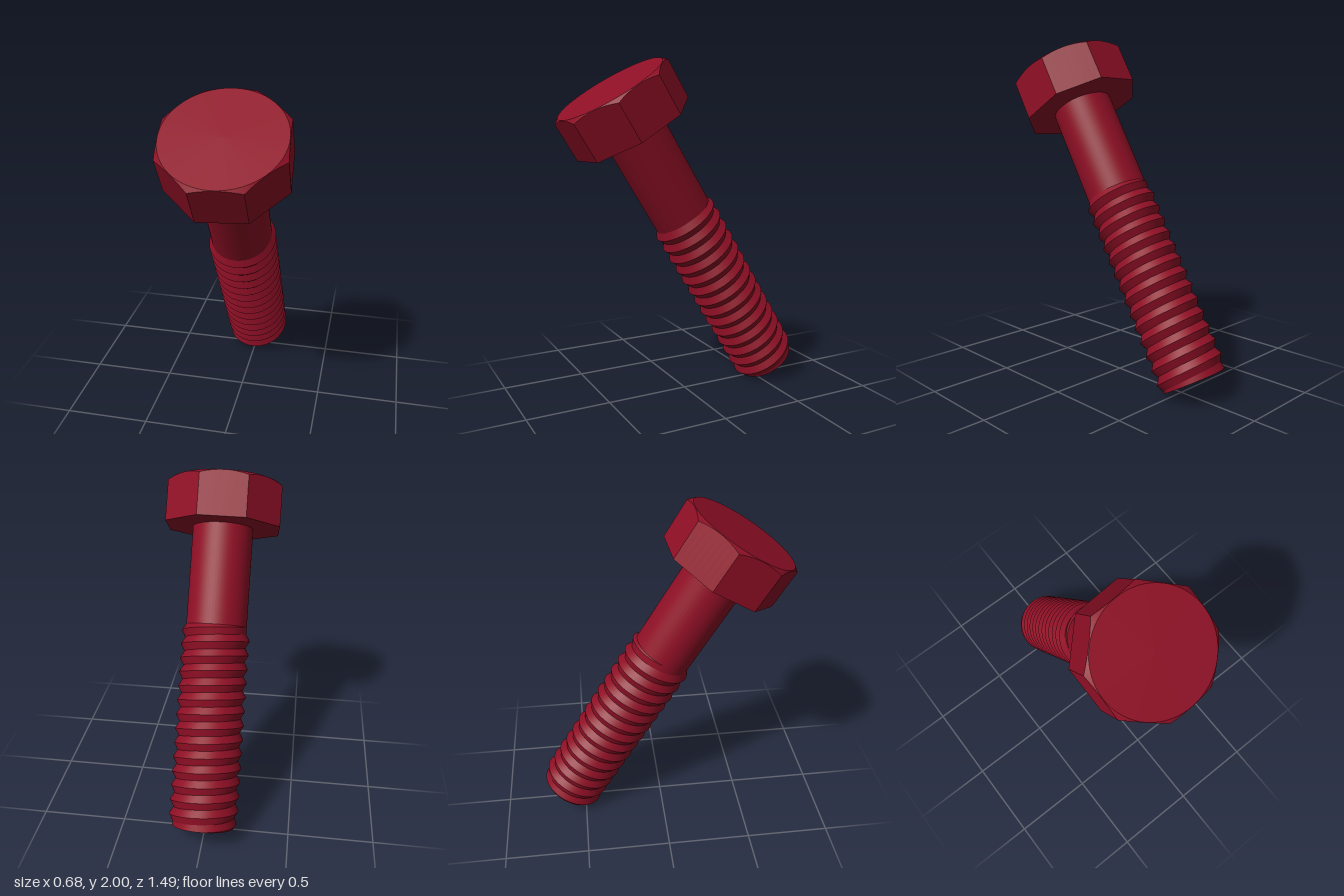
import * as THREE from 'three';
import { toCreasedNormals } from 'three/addons/utils/BufferGeometryUtils.js';

const SEGMENTS = 64;
const SHANK_R = 0.18, LENGTH = 2.028;
const HEAD_BASE = 1.766, THREAD_TOP = 1.18;
const PITCH = 0.083, THREAD_DEPTH = 0.023;
const rad = THREE.MathUtils.degToRad;

// Surface swept around y: point(row, angle) returns [radius, height]
function sweep(rows, point, start = 0) {
  const pos = [], index = [];
  for (let i = 0; i < rows; i++) {
    for (let j = 0; j <= SEGMENTS; j++) {
      const turn = (j / SEGMENTS) * Math.PI * 2;
      const [r, y] = point(i, turn);
      pos.push(r * Math.cos(start + turn), y, r * Math.sin(start + turn));
      if (i < rows - 1 && j < SEGMENTS) {
        const a = i * (SEGMENTS + 1) + j, up = a + SEGMENTS + 1;
        index.push(a, up, a + 1, a + 1, up, up + 1);
      }
    }
  }
  const geo = new THREE.BufferGeometry();
  geo.setAttribute('position', new THREE.Float32BufferAttribute(pos, 3));
  geo.setIndex(index);
  return toCreasedNormals(geo, 0.3);
}

// Eight-sided head whose top corners are cut by a shallow cone
function headGeometry() {
  const flat = 0.3326, side = Math.PI / 4;
  return sweep(5, (row, turn) => {
    const r = flat / Math.cos((turn % side) - side / 2);
    return [
      [0, HEAD_BASE],
      [r, HEAD_BASE],
      [r, LENGTH - 0.002 - (r - flat) * 0.75],
      [flat - 0.002, LENGTH],
      [0, LENGTH],
    ][row];
  }, rad(18.5));
}

// Helical V thread, fading into the plain radius at both ends
function threadGeometry() {
  const turns = 16, first = 1.12 + PITCH / 4 - 14 * PITCH;
  return sweep(turns * 2 + 3, (row, turn) => {
    const raw = first + (row - 1) * PITCH / 2 - (PITCH * turn) / (Math.PI * 2);
    const y = THREE.MathUtils.clamp(raw, 0, THREAD_TOP);
    const fade = Math.min(1, y / 0.03, (THREAD_TOP - y) / 0.03);
    return [SHANK_R + (row % 2 ? THREAD_DEPTH * fade : 0), y];
  });
}

export function createModel() {
  const model = new THREE.Group();
  model.name = 'hexBolt';
  const red = new THREE.MeshStandardMaterial({ color: 0x8e0f25 });
  red.name = 'dark red';

  // Tilted assembly, built upright from the centre of its tip
  const bolt = new THREE.Group();
  bolt.name = 'bolt';
  bolt.position.set(0, 0.097, -0.593);
  bolt.rotation.x = rad(31.4);
  model.add(bolt);

  const add = (name, geometry) => {
    const mesh = new THREE.Mesh(geometry, red);
    mesh.name = name;
    bolt.add(mesh);
    return mesh;
  };

  add('head', headGeometry());
  const shankLength = HEAD_BASE - THREAD_TOP;
  const shank = add('shank', new THREE.CylinderGeometry(SHANK_R, SHANK_R, shankLength, SEGMENTS, 1, true));
  shank.position.y = THREAD_TOP + shankLength / 2;
  add('thread', threadGeometry());
  const tip = add('tip', new THREE.CircleGeometry(SHANK_R, SEGMENTS));
  tip.rotation.x = Math.PI / 2;

  return model;
}
